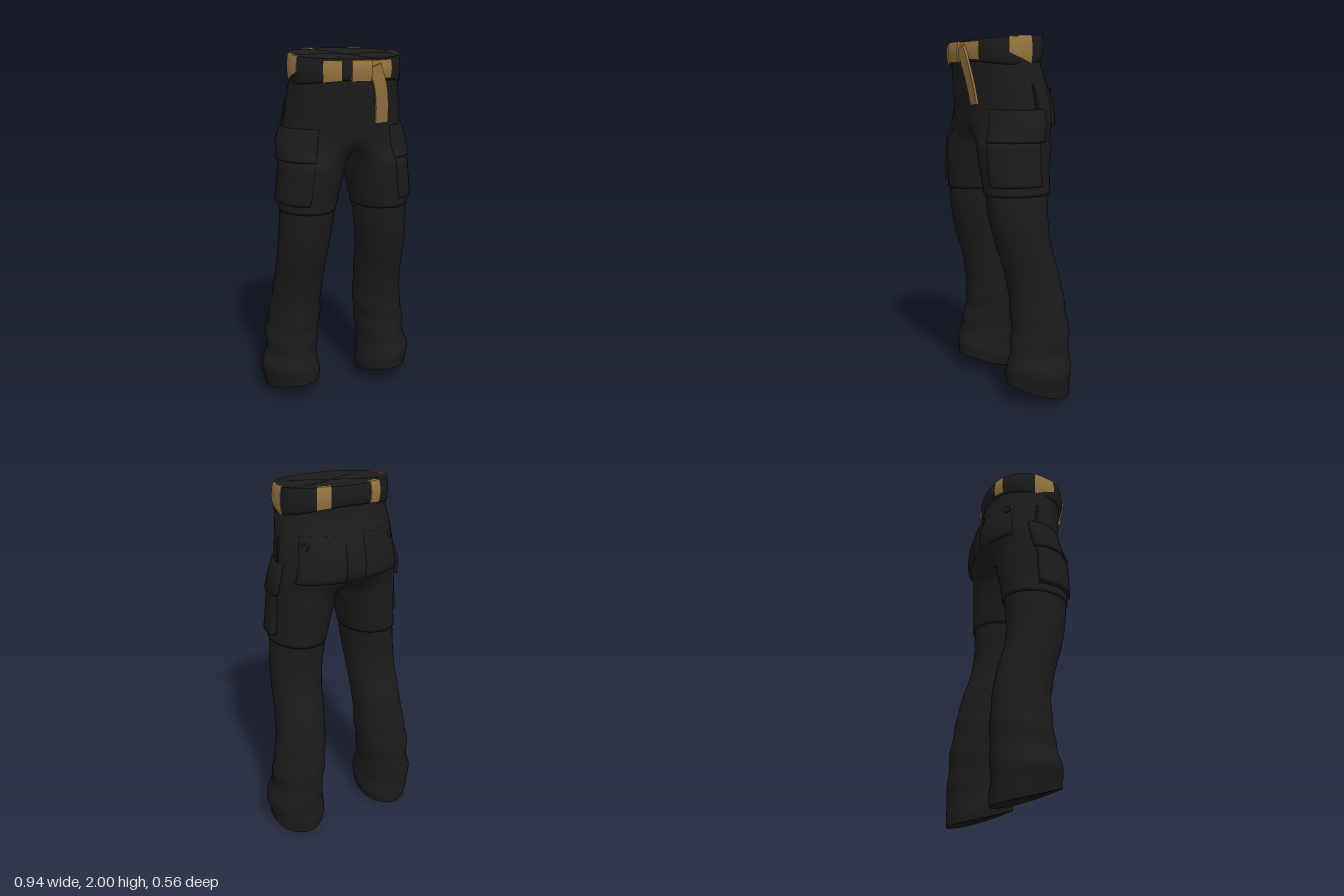
import * as THREE from 'three';
import { mergeGeometries, mergeVertices, toCreasedNormals } from 'three/addons/utils/BufferGeometryUtils.js';

const { cos, sin, PI } = Math;
const { clamp, lerp, degToRad } = THREE.MathUtils;

// Cross-sections: y, inner x, outer x, front z, back z, (leg amount: 0 = half pelvis, 1 = full leg)
const UPPER = [
  [1.16, 0.06, 0.370, 0.193, -0.183, 1], [1.22, 0.048, 0.362, 0.197, -0.187, 1],
  [1.30, 0.03, 0.357, 0.206, -0.194, 1], [1.37, 0.011, 0.355, 0.21, -0.2, 1],
  [1.41, 0.001, 0.355, 0.213, -0.204, 1], [1.44, 0, 0.354, 0.213, -0.213, 0.7],
  [1.48, 0, 0.352, 0.214, -0.236, 0.3], [1.53, 0, 0.347, 0.216, -0.262, 0.06],
  [1.60, 0, 0.336, 0.219, -0.27, 0], [1.74, 0, 0.317, 0.229, -0.243, 0],
  [1.84, 0, 0.302, 0.236, -0.208, 0], [1.93, 0, 0.288, 0.238, -0.196, 0],
];
const LOWER = [
  [0.06, 0.14, 0.442, 0.10, -0.27], [0.12, 0.125, 0.460, 0.098, -0.272],
  [0.19, 0.14, 0.470, 0.088, -0.273], [0.28, 0.14, 0.443, 0.071, -0.273],
  [0.40, 0.128, 0.437, 0.057, -0.273], [0.50, 0.117, 0.418, 0.055, -0.262],
  [0.60, 0.115, 0.40, 0.061, -0.25], [0.75, 0.108, 0.385, 0.092, -0.218],
  [0.87, 0.10, 0.38, 0.13, -0.18], [1.00, 0.085, 0.374, 0.163, -0.165],
  [1.10, 0.072, 0.367, 0.178, -0.168], [1.20, 0.062, 0.357, 0.183, -0.173],
];
const interpolator = (rows) =>
  new THREE.CubicInterpolant(rows.map((r) => r[0]), rows.flatMap((r) => r.slice(1)), rows[0].length - 1);
const upperAt = interpolator(UPPER);
const lowerAt = interpolator(LOWER);

// Point on the seat and thigh: half an ellipse at the hips turning into a full one at the leg
function upper(t, y, off = 0) {
  const [xi, xo, zf, zb, kRaw] = upperAt.evaluate(y);
  const k = clamp(kRaw, 0, 1), inner = Math.max(xi, 0);
  const cz = (zf + zb) / 2, rz = (zf - zb) / 2 + off;
  const p = t / 2 + 0.3 * sin(t);
  const legX = (inner + xo) / 2 + ((xo - inner) / 2 + off * k) * cos(t);
  return new THREE.Vector3(
    lerp((xo + off) * cos(p), legX, k), y, cz + rz * lerp(sin(p), sin(t), k));
}

// Point on the lower leg: soft folds, narrower at the outer front, hem dropping to the back
function lower(t, y) {
  const [xi, xo, zf, zb] = lowerAt.evaluate(y);
  const loose = clamp((0.75 - y) / 0.3, 0, 1);
  const off = 0.003 * loose * sin(y * 38 + 2 * sin(t));
  const z = ((zf - zb) / 2 + off) * sin(t);
  const hem = clamp(1 - (y - 0.06) / 0.45, 0, 1);
  const narrow = cos(t) > 0 ? 1 - 0.25 * loose * Math.max(0, sin(t)) : 1;
  return new THREE.Vector3((xi + xo) / 2 + ((xo - xi) / 2 + off) * cos(t) * narrow,
    y + hem * (0.3 * z - 0.01 * cos(t) ** 2), (zf + zb) / 2 + z);
}

// Point on the waistband: v = 0 at its lower edge, 1 at its rim, more folds inwards over the top
function band(a, v, off = 0) {
  const s = sin(a), up = Math.min(v, 1), over = v - up;
  const r = off + 0.008 * sin(PI * clamp(v, 0, 1)) - 0.13 * over;
  const y = lerp(1.84 + 0.041 * s * s - 0.019 * s, 1.983 - 0.018 * s, up);
  return new THREE.Vector3((0.298 + r) * cos(a) * (1 + 0.12 * s * s),
    y + (over > 0 ? off : 0), 0.02 + (0.228 + r) * s);
}
// Waistband strip whose lower end is cut at a slant, rising towards the front
const slantedBand = (a, v, off) => band(a, lerp(0.45 * clamp((sin(a) + 0.2) / 0.56, 0, 1), 1.12, v), off);

// Surface through fn(u, v); side -1 mirrors it in x
function grid(fn, nu, nv, side = 1) {
  const pos = [], idx = [];
  for (let j = 0; j <= nv; j++) for (let i = 0; i <= nu; i++) {
    const p = fn(i / nu, j / nv);
    pos.push(p.x * side, p.y, p.z);
    if (i < nu && j < nv) {
      const a = j * (nu + 1) + i, b = a + 1, c = a + nu + 1, d = c + 1;
      if (side > 0) idx.push(a, c, b, b, c, d);
      else idx.push(a, b, c, b, d, c);
    }
  }
  const g = new THREE.BufferGeometry();
  g.setAttribute('position', new THREE.Float32BufferAttribute(pos, 3));
  g.setIndex(idx);
  return g;
}
function smooth(g) {
  const m = mergeVertices(g, 1e-4);
  m.computeVertexNormals();
  return m;
}

// Raised panel laid over a surface, with edges running down to it
function panel(surface, [u0, u1], [v0, v1], height, side = 1, n = 14) {
  const at = (f) => clamp((f * n - 1) / (n - 2), 0, 1);
  return grid((a, b) => {
    const edge = a === 0 || a === 1 || b === 0 || b === 1;
    const h = typeof height === 'function' ? height(at(a), at(b)) : height;
    return surface(degToRad(lerp(u0, u1, at(a))), lerp(v0, v1, at(b)), edge ? -0.004 : h);
  }, n, n, side);
}

export function createModel() {
  const group = new THREE.Group();
  const cloth = new THREE.MeshStandardMaterial({ color: 0x1b1b1b });
  cloth.name = 'black cloth';
  const tan = new THREE.MeshStandardMaterial({ color: 0x967440 });
  tan.name = 'tan webbing';
  const add = (name, geometry, material = cloth) => {
    const mesh = new THREE.Mesh(geometry, material);
    mesh.name = name;
    group.add(mesh);
    return mesh;
  };
  const turn = (u) => lerp(-PI, PI, u);

  // Seat and thighs, with a turned-in lower edge
  const half = (side) => grid((u, v) =>
    upper(turn(u), lerp(1.16, 1.93, Math.max(0, (v * 46 - 1) / 45)), v === 0 ? -0.03 : 0), 48, 46, side);
  add('seatAndThighs', smooth(mergeGeometries([half(1), half(-1)])));

  for (const side of [1, -1]) {
    const label = side > 0 ? 'left' : 'right';
    // Lower leg and closed hem
    add(label + 'LowerLeg', smooth(grid((u, v) => lower(turn(u), lerp(0.06, 1.2, v)), 40, 56, side)));
    const centre = new THREE.Vector3(0.288, 0.055, -0.085);
    add(label + 'Hem', smooth(grid((u, v) => centre.clone().lerp(lower(turn(u), 0.06), v), 40, 3, side)));

    // Cargo pocket: pouch and overhanging flap, flattening out towards the front
    add(label + 'CargoPouch', smooth(panel(upper, [-14, 72], [1.21, 1.44],
      (u, v) => (0.028 - 0.016 * v) * (1 - 0.55 * u ** 3), side)));
    add(label + 'CargoFlap', smooth(panel(upper, [-18, 74], [1.44, 1.61],
      (u, v) => (0.031 - 0.021 * v * v) * (1 - 0.55 * u ** 3), side)));
    add(label + 'SideSeam', smooth(panel(upper, [-7, -3], [1.61, 1.74], 0.006, side)));

    // Back pocket, fuller on the left, with a button
    const puff = side > 0 ? 0.016 : 0.003;
    add(label + 'BackPocket', smooth(panel(upper, [-138, -46], [1.53, 1.76],
      (u, v) => 0.005 + puff * (1 - v) * (0.5 + 0.5 * u), side)));
    const spot = upper(degToRad(-56), 1.715, 0.008);
    const button = add(label + 'Button', new THREE.CylinderGeometry(0.018, 0.022, 0.014, 16).rotateX(PI / 2));
    button.position.set(spot.x * side, spot.y, spot.z);
    button.quaternion.setFromUnitVectors(new THREE.Vector3(0, 0, 1),
      new THREE.Vector3(spot.x * side * 0.8, 0.02, spot.z).normalize());
  }

  // Waistband and its closed, slightly creased top
  add('waistband', smooth(grid((u, v) =>
    band(turn(u), Math.max(0, (v * 9 - 1) / 8), v === 0 ? -0.02 : 0), 56, 9)));
  add('waistTop', smooth(grid((u, v) => {
    const p = band(turn(u), 1).lerp(new THREE.Vector3(0, 1.978, 0.02), v);
    p.y += 0.006 * sin(5 * turn(u)) * sin(PI * v);
    return p;
  }, 56, 5)));

  // Belt pieces showing around the waistband: surface, angle range, height range, thickness
  const webbing = [
    ['leftSideLoop', slantedBand, [-12, 20], [0, 1], 0.003],
    ['rightSideLoop', slantedBand, [160, 192], [0, 1], 0.003],
    ['leftBackLoop', band, [-71, -58], [0.02, 1.22], 0.004],
    ['rightBackLoop', band, [-122, -109], [0.02, 1.22], 0.004],
    ['rightFrontLoop', band, [107, 125], [-0.02, 0.92], 0.007],
    ['beltFront', band, [57, 84], [0.08, 0.92], 0.007],
    ['buckle', band, [82, 99], [-0.06, 0.95], 0.024],
  ];
  for (const [name, surface, angles, heights, thick] of webbing) {
    add(name, toCreasedNormals(panel(surface, angles, heights, thick), 0.7), tan);
  }

  // Loose belt end curving down from the buckle
  const path = new THREE.CatmullRomCurve3([
    [0.068, 1.93, 0.262], [0.104, 1.835, 0.252], [0.124, 1.73, 0.234], [0.13, 1.635, 0.217],
  ].map((p) => new THREE.Vector3(...p)));
  const tail = new THREE.BoxGeometry(0.07, 1, 0.014, 1, 12, 1);
  const pos = tail.attributes.position;
  for (let i = 0; i < pos.count; i++) {
    const f = clamp(0.5 - pos.getY(i), 0, 1);
    const p = path.getPoint(f), d = path.getTangent(f), x = pos.getX(i);
    pos.setXYZ(i, p.x - d.y * x, p.y + d.x * x, p.z + pos.getZ(i));
  }
  add('beltTail', toCreasedNormals(tail, 0.7), tan);

  return group;
}
